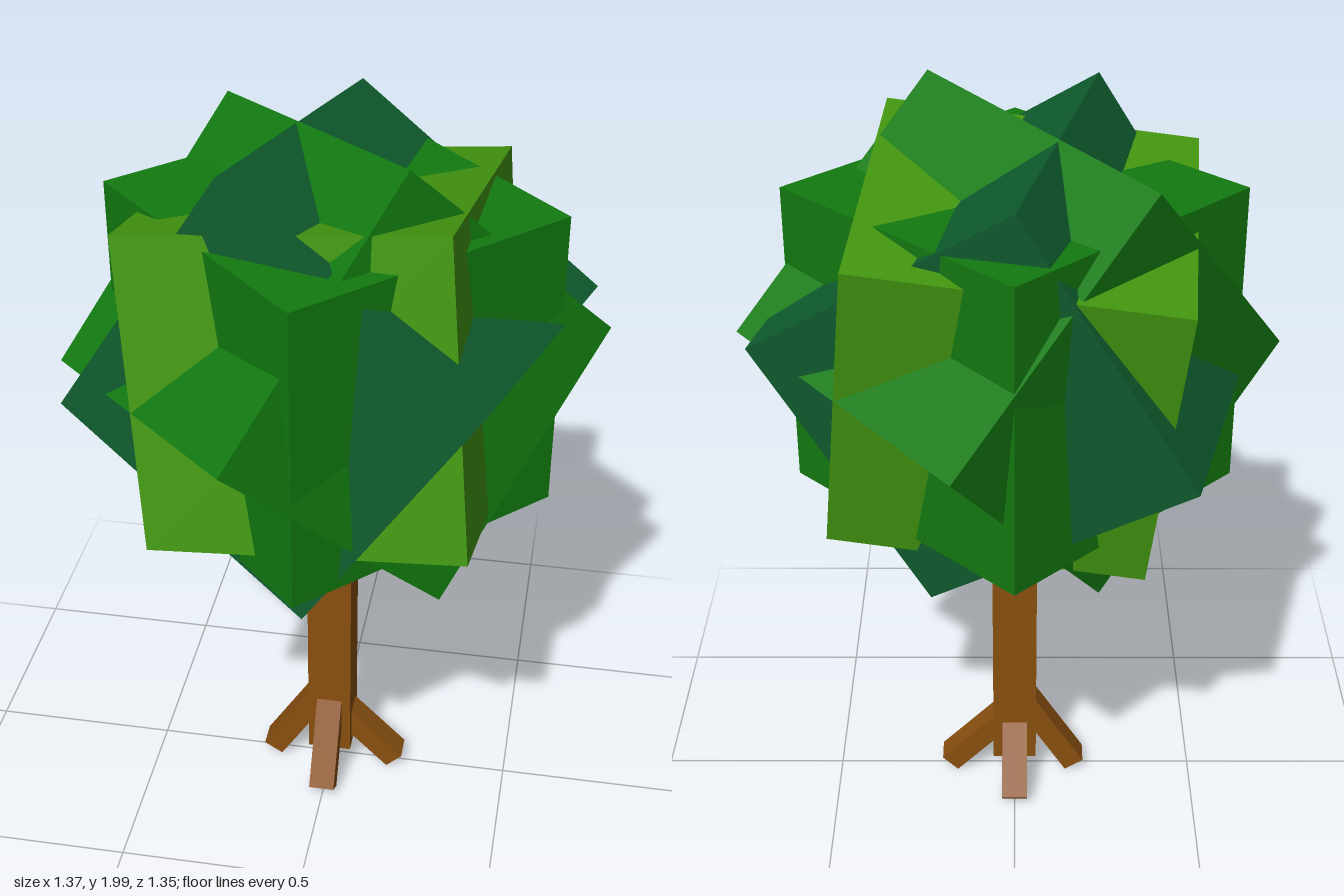
import * as THREE from 'three';

const material = (color) => new THREE.MeshStandardMaterial({ color, flatShading: true });

export function createModel() {
  const tree = new THREE.Group();
  tree.name = 'tree';
  const bark = material(0x8a5010);
  const green = material(0x127a10);
  const teal = material(0x0f5c2e);
  const lime = material(0x429610);

  // Trunk
  const trunk = new THREE.Mesh(new THREE.BoxGeometry(0.12, 0.86, 0.12), bark);
  trunk.name = 'trunk';
  trunk.position.y = 0.51;
  tree.add(trunk);

  // Square limb from the trunk out to its tip; turn 0 points to +x
  function limb(name, turn, inner, outer) {
    const from = new THREE.Vector2(...inner);
    const dir = new THREE.Vector2(...outer).sub(from);
    const mesh = new THREE.Mesh(new THREE.BoxGeometry(dir.length(), 0.06, 0.07), bark);
    mesh.position.set(from.x + dir.x / 2, from.y + dir.y / 2, 0);
    mesh.rotation.z = dir.angle();
    const pivot = new THREE.Group();
    pivot.name = name;
    pivot.rotation.y = turn;
    pivot.add(mesh);
    tree.add(pivot);
  }

  const left = 0, back = Math.PI / 2, right = Math.PI, front = -Math.PI / 2;
  // Roots: two steep, two shallow
  for (const turn of [right, front]) limb('steepRoot', turn, [0.03, 0.25], [0.17, 0.028]);
  for (const turn of [left, back]) limb('shallowRoot', turn, [0.02, 0.2], [0.185, 0.032]);
  // Branches: two steep, two shallow
  for (const turn of [left, front]) limb('steepBranch', turn, [0.03, 0.69], [0.155, 0.92]);
  for (const turn of [right, back]) limb('shallowBranch', turn, [0.02, 0.74], [0.19, 0.91]);

  // Foliage: equal cubes around one centre, each set by its edge direction
  // and an upward direction; "roll" puts an edge on top instead of a face
  function leafCube(name, mat, edge, up, roll) {
    const geometry = new THREE.BoxGeometry(0.8, 0.8, 0.8);
    geometry.rotateX(roll);
    const x = new THREE.Vector3(...edge).normalize();
    const z = new THREE.Vector3().crossVectors(x, new THREE.Vector3(...up)).normalize();
    const y = new THREE.Vector3().crossVectors(z, x);
    const mesh = new THREE.Mesh(geometry, mat);
    mesh.name = name;
    mesh.quaternion.setFromRotationMatrix(new THREE.Matrix4().makeBasis(x, y, z));
    mesh.position.y = 1.39;
    tree.add(mesh);
  }
  leafCube('uprightFoliage', green, [1, 0, 1], [0, 1, 0], 0);
  leafCube('tippedFoliage', green, [0.677, 0.113, 0.728], [-0.097, 0.994, -0.064], Math.PI / 4);
  leafCube('darkFoliage', teal, [-0.21, 0.06, 0.77], [-0.105, 0.55, -0.075], Math.PI / 4);
  leafCube('brightFoliage', lime, [0.8, 0.09, 0.05], [-0.08, 0.79, -0.136], 0);

  return tree;
}
